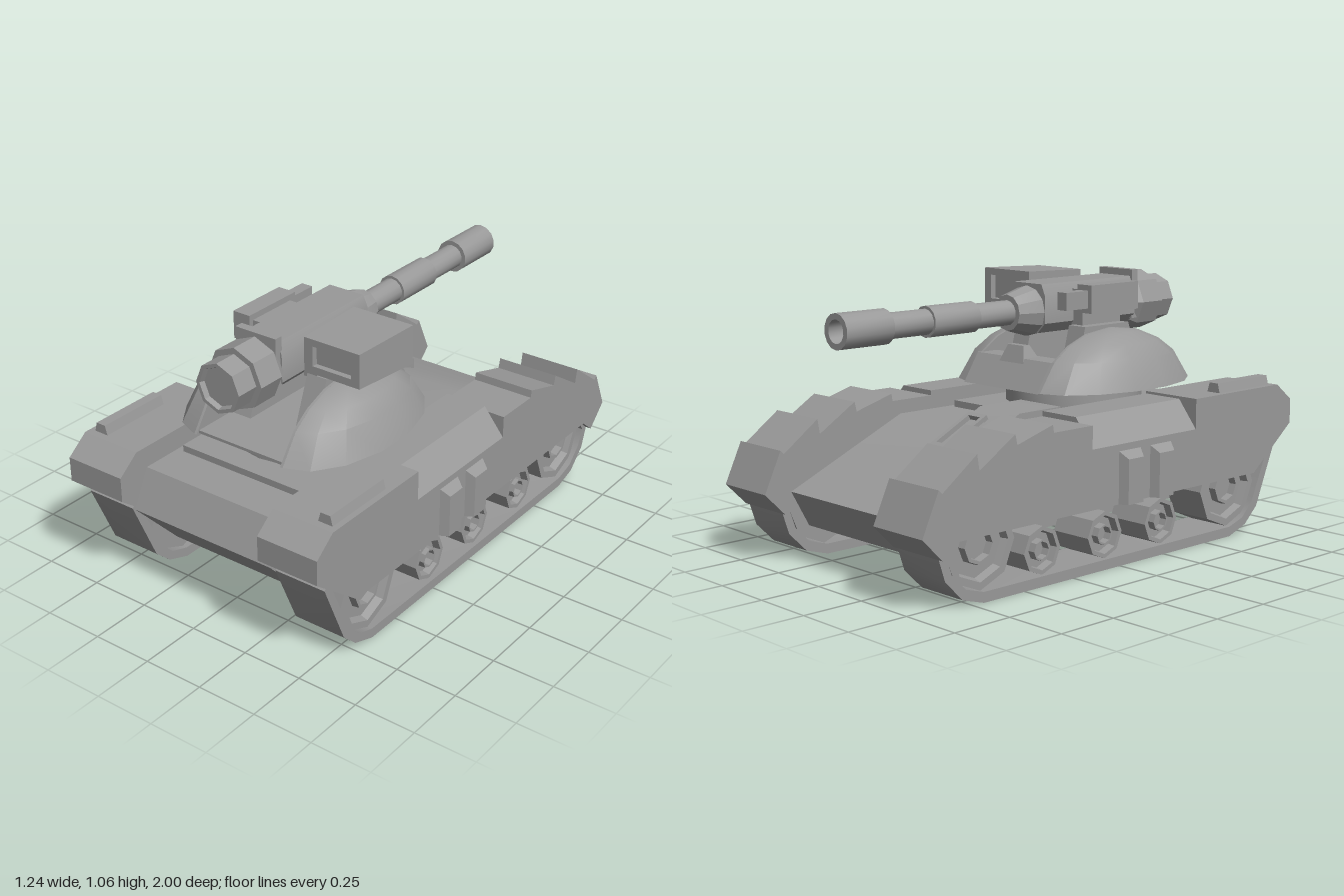
import * as THREE from 'three';
import { toCreasedNormals } from 'three/addons/utils/BufferGeometryUtils.js';

const grey = new THREE.MeshStandardMaterial({ color: 0x999999 });
grey.name = 'armour grey';

// Adds a crisp-edged mesh; mirrored parts are reflected across x = 0
function add(parent, name, geometry, mirrored = false) {
  let g = geometry.index ? geometry.toNonIndexed() : geometry.clone();
  if (mirrored) {
    g.scale(-1, 1, 1);
    const p = g.attributes.position;
    const a = new THREE.Vector3(), b = new THREE.Vector3();
    for (let i = 0; i < p.count; i += 3) {
      a.fromBufferAttribute(p, i + 1);
      b.fromBufferAttribute(p, i + 2);
      p.setXYZ(i + 1, b.x, b.y, b.z);
      p.setXYZ(i + 2, a.x, a.y, a.z);
    }
  }
  g.computeVertexNormals();
  g = toCreasedNormals(g, 0.5);
  const mesh = new THREE.Mesh(g, grey);
  mesh.name = name;
  parent.add(mesh);
}

const shapeOf = (pts) => new THREE.Shape(pts.map(([a, b]) => new THREE.Vector2(a, b)));

// Outline in (z, y) extruded across x0..x1
function sideExtrude(pts, x0, x1, hole) {
  const shape = shapeOf(pts);
  if (hole) shape.holes.push(shapeOf(hole));
  const g = new THREE.ExtrudeGeometry(shape, { depth: x1 - x0, bevelEnabled: false });
  return g.rotateY(-Math.PI / 2).translate(x1, 0, 0);
}

// Outline in (x, y) extruded along z0..z1
function frontExtrude(pts, z0, z1, hole) {
  const shape = shapeOf(pts);
  if (hole) shape.holes.push(shapeOf(hole));
  return new THREE.ExtrudeGeometry(shape, { depth: z1 - z0, bevelEnabled: false }).translate(0, 0, z0);
}

function box(x0, x1, y0, y1, z0, z1) {
  return new THREE.BoxGeometry(x1 - x0, y1 - y0, z1 - z0)
    .translate((x0 + x1) / 2, (y0 + y1) / 2, (z0 + z1) / 2);
}

// Moves every vertex by a rule
function warp(g, rule) {
  const p = g.attributes.position, v = new THREE.Vector3();
  for (let i = 0; i < p.count; i++) {
    rule(v.fromBufferAttribute(p, i));
    p.setXYZ(i, v.x, v.y, v.z);
  }
  return g;
}

const lathe = (pts, sides, start = 0, length = Math.PI * 2) =>
  new THREE.LatheGeometry(pts.map(([r, y]) => new THREE.Vector2(r, y)), sides, start, length);

const rect = (x0, x1, y0, y1) => [[x0, y0], [x1, y0], [x1, y1], [x0, y1]];

// Stepped fender outline; notch is the middle height, hollow leaves room for the belt
function fenderOutline(notch, hollow) {
  const under = hollow
    ? [[-0.91, 0.195], [-0.88, 0.25], [-0.78, 0.42], [1, 0.43]]
    : [[-0.91, 0.195], [-0.84, 0.25], [0.77, 0.25], [1, 0.43]];
  return [[1, 0.53], [0.91, 0.6], [0.4, 0.6], [0.4, notch], [-0.18, notch], [-0.18, 0.57],
    [-0.38, 0.57], [-0.385, 0.6], [-0.56, 0.55], [-0.57, 0.59], [-0.74, 0.485], [-0.75, 0.545],
    [-0.91, 0.43], [-0.925, 0.445], [-1, 0.285], ...under];
}

function wheel(r, z, y) {
  const w = 0.09, d = 0.03;
  return lathe([[0, -w], [r, -w], [r, w], [r * 0.82, w], [r * 0.76, w - d], [r * 0.46, w - d],
    [r * 0.44, w], [r * 0.36, w], [r * 0.34, w - d], [0, w - d]], 8)
    .rotateZ(-Math.PI / 2).translate(0.455, y, z);
}

function buildSide(parent, mirrored) {
  const put = (name, g) => add(parent, name, g, mirrored);
  // Track belt and wheels
  put('trackBelt', sideExtrude(
    [[0.65, 0], [0.75, 0.035], [0.82, 0.1], [0.93, 0.36], [0.88, 0.41], [-0.79, 0.41],
      [-0.91, 0.2], [-0.88, 0.11], [-0.8, 0.03], [-0.7, 0]], 0.345, 0.565,
    [[0.65, 0.04], [0.73, 0.065], [0.79, 0.125], [0.89, 0.35], [0.86, 0.375], [-0.77, 0.375],
      [-0.875, 0.2], [-0.85, 0.13], [-0.785, 0.065], [-0.7, 0.04]]));
  for (const z of [0.65, -0.7]) put('endWheel', wheel(0.165, z, 0.205));
  for (const z of [0.25, -0.065, -0.395]) put('roadWheel', wheel(0.092, z, 0.13));

  // Fender shell with a chamfered middle
  put('innerSkirt', sideExtrude(fenderOutline(0.59, false), 0.325, 0.345));
  put('fenderCore', sideExtrude(fenderOutline(0.59, true), 0.345, 0.5));
  put('fenderEdge', sideExtrude(fenderOutline(0.48, true), 0.5, 0.565));
  put('outerSkirt', sideExtrude(fenderOutline(0.48, false), 0.565, 0.588));
  put('fenderChamfer', frontExtrude([[0.5, 0.48], [0.588, 0.48], [0.5, 0.59]], -0.18, 0.4));

  // Bevelled skirt panels and the bar on the front fender
  for (const z of [0.195, 0.022]) {
    put('skirtPanel', warp(box(0.58, 0.622, 0.25, 0.46, z - 0.063, z + 0.063), (v) => {
      if (v.x > 0.6) {
        v.z = z + (v.z - z) * 0.65;
        if (v.y > 0.4) v.y = 0.425;
      }
    }));
  }
  put('fenderBar', warp(box(0.5, 0.565, 0.595, 0.638, 0.57, 0.88), (v) => {
    if (v.y > 0.62) v.x = 0.5325 + (v.x - 0.5325) * 0.65;
  }));
}

function buildHull(parent) {
  add(parent, 'hull', sideExtrude([[0.72, 0.135], [0.935, 0.365], [0.86, 0.515], [-0.34, 0.515],
    [-0.88, 0.28], [-0.8, 0.135]], -0.325, 0.325));
  add(parent, 'turretPlinth', box(-0.295, 0.295, 0.51, 0.542, -0.08, 0.69));
  // Raised rear block with a framed hatch on its slope
  add(parent, 'rearBlock', sideExtrude([[-0.085, 0.5], [-0.085, 0.595], [-0.3, 0.595],
    [-0.57, 0.46], [-0.57, 0.4]], -0.325, -0.105));
  const hatch = new THREE.Group();
  hatch.name = 'hatch';
  hatch.position.set(-0.165, 0.515, -0.455);
  hatch.rotation.x = -Math.PI / 2 - 0.46;
  parent.add(hatch);
  add(hatch, 'hatchFrame', frontExtrude(rect(-0.05, 0.05, -0.11, 0.11), 0, 0.022,
    rect(-0.032, 0.032, -0.09, 0.09)));
  add(hatch, 'hatchHinge', box(-0.095, -0.07, -0.07, 0.07, 0, 0.018));
}

function buildTurret(parent) {
  const cz = 0.315;
  add(parent, 'turretRing', lathe([[0, 0.53], [0.28, 0.53], [0.28, 0.61], [0.3, 0.61],
    [0.3, 0.635], [0, 0.635]], 20).translate(0, 0, cz));
  // Two half domes either side of the gun slot
  const profile = [[0, 0.63], [1, 0.63], [0.8, 0.745], [0.6, 0.8], [0.35, 0.838], [0, 0.855]];
  for (const mirrored of [false, true]) {
    const dome = warp(lathe(profile, 7, 0, Math.PI), (v) => {
      v.x = 0.21 + v.x * 0.222;
      v.z = cz + v.z * 0.4;
    });
    add(parent, 'domeHalf', dome, mirrored);
    const wall = [[1, 0.63], [0.8, 0.745], [0.6, 0.8], [0.35, 0.838]].map(([r, y]) => [r * 0.4, y]);
    const outline = [...wall, [0, 0.855], ...wall.map(([z, y]) => [-z, y]).reverse()];
    add(parent, 'domeWall', sideExtrude(outline.map(([z, y]) => [z + cz, y]), 0.2, 0.211), mirrored);
    add(parent, 'gunSupport', sideExtrude([[0.52, 0.63], [0.43, 0.865], [0.18, 0.865], [0.12, 0.63]],
      0.105, 0.195), mirrored);
  }
  add(parent, 'slotFloor', box(-0.21, 0.21, 0.63, 0.642, -0.05, 0.7));
  add(parent, 'domeBack', sideExtrude([[-0.1, 0.63], [-0.025, 0.745], [0.07, 0.745], [0.1, 0.63]],
    -0.21, 0.21));
  add(parent, 'domeSpur', warp(box(-0.1, 0.1, 0.64, 0.793, -0.07, 0.11), (v) => {
    if (v.y > 0.7) {
      v.x *= 0.45;
      v.z = v.z < 0 ? -0.012 : 0.02;
    }
  }));
}

function buildGun(parent) {
  const along = (pts, sides) => lathe(pts, sides).rotateX(-Math.PI / 2).translate(0, 0.925, 0);
  // Stepped hollow barrel; distances run toward the muzzle
  add(parent, 'barrel', along([[0, 0], [0.05, 0], [0.05, 0.25], [0.061, 0.25], [0.061, 0.48],
    [0.05, 0.48], [0.05, 0.68], [0.068, 0.68], [0.068, 0.9], [0.045, 0.9], [0.045, 0.8], [0, 0.8]], 14));
  add(parent, 'mantlet', along([[0, -0.06], [0.1, -0.06], [0.1, -0.04], [0.072, 0.06], [0, 0.06]], 12));
  add(parent, 'breech', along([[0, -0.79], [0.078, -0.79], [0.085, -0.81], [0.1, -0.81],
    [0.1, -0.715], [0.124, -0.715], [0.124, -0.6], [0.1, -0.56], [0, -0.56]], 8));
  add(parent, 'gunBody', frontExtrude([[-0.06, 0.84], [0.06, 0.84], [0.1, 0.88], [0.1, 0.99],
    [0.08, 1.035], [-0.08, 1.035], [-0.1, 0.99], [-0.1, 0.88]], 0.05, 0.57));
  add(parent, 'bodyPlate', box(-0.093, 0.093, 0.86, 1.062, 0.56, 0.595));
  for (const mirrored of [false, true]) {
    add(parent, 'sideBracket', box(0.09, 0.15, 0.85, 1.008, 0.21, 0.43), mirrored);
  }
  // Small sight on the right
  add(parent, 'sightBox', box(-0.228, -0.15, 0.92, 1.032, 0.18, 0.45));
  add(parent, 'sightTube', box(-0.21, -0.16, 0.94, 1.01, 0.06, 0.18));

  // Tapered pod on the left, framed at both ends
  const skew = (g) => warp(g, (v) => {
    const t = (0.5 - v.z) / 0.3;
    v.x += 0.02 * (t - 0.5) * (v.x > 0.28 ? 1 : 0);
    v.y += v.y < 0.98 ? -0.012 * t : 0.008 * t;
  });
  const outer = rect(0.147, 0.405, 0.915, 1.052);
  const inner = rect(0.185, 0.367, 0.945, 1.024);
  add(parent, 'pod', skew(frontExtrude(outer, 0.225, 0.475)));
  for (const z of [0.2, 0.475]) {
    add(parent, 'podFrame', skew(frontExtrude(outer, z, z + 0.025, inner)));
  }
}

export function createModel() {
  const model = new THREE.Group();
  model.name = 'tank';
  const section = (name, build) => {
    const group = new THREE.Group();
    group.name = name;
    model.add(group);
    build(group);
  };
  section('leftTrack', (g) => buildSide(g, false));
  section('rightTrack', (g) => buildSide(g, true));
  section('hullGroup', buildHull);
  section('turret', buildTurret);
  section('gun', buildGun);
  return model;
}
